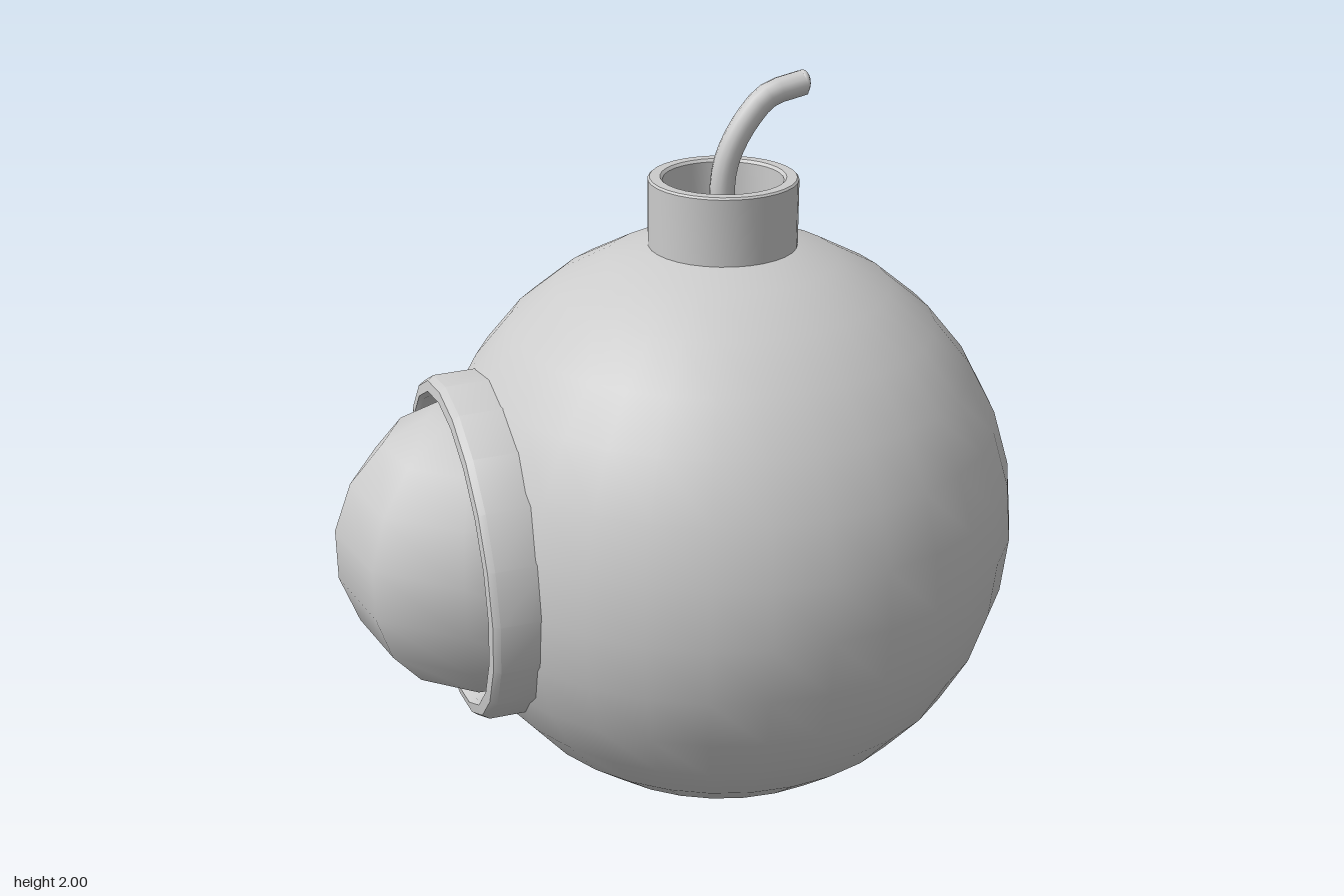
import * as THREE from 'three';
import { toCreasedNormals } from 'three/addons/utils/BufferGeometryUtils.js';

const material = new THREE.MeshStandardMaterial({ color: 0xcccccc });
const CENTER = new THREE.Vector3(0.13, 0.795, 0);
const FUSE_RADIUS = 0.033;

function addPart(group, name, geometry, x = 0, y = 0, z = 0) {
  const mesh = new THREE.Mesh(geometry, material);
  mesh.name = name;
  mesh.position.set(x, y, z);
  group.add(mesh);
  return mesh;
}

// Ring turned from [radius, height] pairs, outside running upward
function turned(profile, segments) {
  const points = profile.map(([r, h]) => new THREE.Vector2(r, h));
  return toCreasedNormals(new THREE.LatheGeometry(points, segments), 0.6);
}

export function createModel() {
  const bomb = new THREE.Group();
  bomb.name = 'bomb';

  // Main ball
  addPart(bomb, 'body', new THREE.SphereGeometry(0.793, 32, 16), CENTER.x, CENTER.y, 0);

  // Open collar on top, sunk into the ball
  addPart(bomb, 'collar', turned([
    [0.195, 1.5], [0.195, 1.735], [0.19, 1.74], [0.163, 1.74], [0.156, 1.733], [0.156, 1.5],
  ], 32), CENTER.x);

  // Bent fuse with a rounded tip
  const fuse = new THREE.Group();
  fuse.name = 'fuse';
  bomb.add(fuse);
  const path = new THREE.CatmullRomCurve3([
    [0.13, 1.55], [0.13, 1.74], [0.15, 1.81], [0.195, 1.885], [0.25, 1.94], [0.345, 1.965],
  ].map(([x, y]) => new THREE.Vector3(x, y, 0)));
  addPart(fuse, 'fuseCord', new THREE.TubeGeometry(path, 16, FUSE_RADIUS, 12));
  const tip = addPart(fuse, 'fuseTip', new THREE.SphereGeometry(FUSE_RADIUS, 12, 8), 0.345, 1.965);
  tip.scale.x = 0.5;

  // Side ring, its axis along x with a slight tilt
  const ring = addPart(bomb, 'sideRing', turned([
    [0.462, -0.06], [0.46, 0.075], [0.448, 0.092], [0.42, 0.096], [0.41, 0.085], [0.39, 0.0],
  ], 20), -0.54, 0.8, 0);
  ring.rotation.z = Math.PI / 2 + 0.015;

  // Coarse dome bulging out of the ring
  const step = THREE.MathUtils.degToRad(38.3);
  const start = THREE.MathUtils.degToRad(-85.3);
  addPart(bomb, 'sideDome', new THREE.SphereGeometry(0.402, 5, 9, start, 5 * step), -0.53, 0.8, 0);

  return bomb;
}
